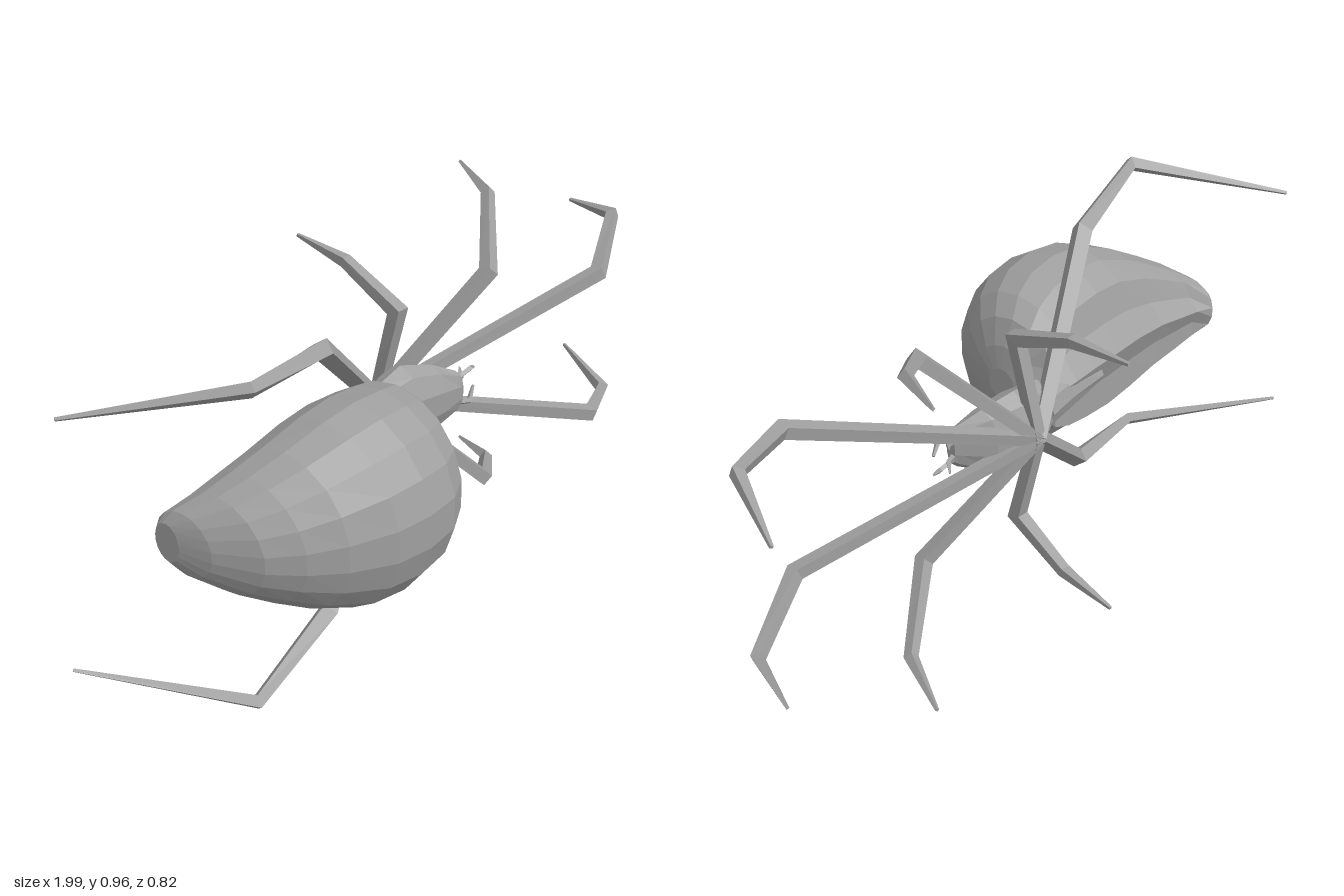
import * as THREE from 'three';

const MID = 0.475; // height of the body's plane of symmetry

// Skin a list of equal-length rings (counter-clockwise about the travel direction) and cap both ends
function loft(rings) {
  const pos = [];
  const n = rings[0].length;
  const tri = (...pts) => pts.forEach((p) => pos.push(p.x, p.y, p.z));
  const centre = (r) => r.reduce((s, p) => s.add(p), new THREE.Vector3()).divideScalar(n);
  const first = rings[0], last = rings[rings.length - 1];
  const c0 = centre(first), c1 = centre(last);
  for (let j = 0; j < n; j++) {
    const k = (j + 1) % n;
    for (let i = 0; i < rings.length - 1; i++) {
      const a = rings[i], b = rings[i + 1];
      tri(a[j], a[k], b[k]);
      tri(a[j], b[k], b[j]);
    }
    tri(c0, first[k], first[j]);
    tri(c1, last[j], last[k]);
  }
  const g = new THREE.BufferGeometry();
  g.setAttribute('position', new THREE.Float32BufferAttribute(pos, 3));
  g.computeVertexNormals();
  return g;
}

// Body from stations along x: [x, half width in y, lowest z, highest z]
function bodyGeometry(stations, sides, furrow = 0) {
  return loft(stations.map(([x, w, zb, zt], i) => {
    const ring = [];
    const inner = i > 1 && i < stations.length - 2;
    for (let j = 0; j < sides; j++) {
      const a = (j / sides) * Math.PI * 2;
      // alternate underside corners sink in to form lengthwise furrows
      const s = inner && Math.sin(a) < -0.4 && j % 2 ? 1 - furrow : 1;
      ring.push(new THREE.Vector3(
        x,
        MID + w * Math.cos(a) * s,
        (zb + zt) / 2 + ((zt - zb) / 2) * Math.sin(a) * s
      ));
    }
    return ring;
  }));
}

// Square-section jointed limb with mitred knees
function limbGeometry(points, radii) {
  const p = points.map((q) => new THREE.Vector3(...q));
  const last = p.length - 1;
  const dir = (i) => p[i + 1].clone().sub(p[i]).normalize();
  const normal = dir(0).cross(p[last].clone().sub(p[1])).normalize();
  return loft(p.map((q, i) => {
    const d0 = dir(Math.max(0, i - 1)), d1 = dir(Math.min(last - 1, i));
    const t = d0.clone().add(d1).normalize();
    const mitre = Math.min(1.5, 1 / t.dot(d0));
    const u = normal.clone().addScaledVector(t, -normal.dot(t)).normalize();
    const v = t.clone().cross(u).multiplyScalar(mitre);
    return [[1, -1], [1, 1], [-1, 1], [-1, -1]].map(([a, b]) =>
      q.clone().addScaledVector(u, a * radii[i]).addScaledVector(v, b * radii[i]));
  }));
}

export function createModel() {
  const model = new THREE.Group();
  const grey = new THREE.MeshStandardMaterial({ color: 0xa0a0a0, flatShading: true });
  grey.name = 'grey';
  const add = (name, geometry) => {
    const mesh = new THREE.Mesh(geometry, grey);
    mesh.name = name;
    model.add(mesh);
  };

  // Teardrop abdomen, pointed at the rear
  add('abdomen', bodyGeometry([
    [-0.81, 0.055, -0.10, -0.02],
    [-0.79, 0.09, -0.115, 0.07],
    [-0.735, 0.135, -0.10, 0.19],
    [-0.67, 0.175, -0.09, 0.265],
    [-0.59, 0.22, -0.075, 0.33],
    [-0.48, 0.265, -0.07, 0.39],
    [-0.38, 0.277, -0.07, 0.41],
    [-0.28, 0.265, -0.065, 0.405],
    [-0.20, 0.238, -0.06, 0.365],
    [-0.145, 0.195, -0.05, 0.305],
    [-0.115, 0.12, 0.03, 0.235],
    [-0.105, 0.05, 0.09, 0.18],
  ], 18, 0.13));

  // Waist joining the abdomen to the fore body
  add('waist', bodyGeometry([
    [-0.32, 0.03, -0.06, 0.0],
    [-0.18, 0.06, -0.06, 0.02],
    [-0.08, 0.06, -0.07, 0.02],
  ], 8));

  // Fore body with a narrow, raised head
  add('foreBody', bodyGeometry([
    [-0.12, 0.06, -0.05, 0.02],
    [-0.06, 0.108, -0.075, 0.03],
    [0.04, 0.125, -0.10, 0.05],
    [0.13, 0.10, -0.05, 0.065],
    [0.195, 0.065, 0.02, 0.068],
    [0.21, 0.05, 0.035, 0.064],
  ], 10));

  // Four legs per side: knee, ankle and tip; the last number scales the thickness
  const hub = [0.03, MID, -0.10];
  const legs = {
    leftFrontLeg: [[0.65, 0.715, 0.205], [0.89, 0.78, 0.095], [0.99, 0.735, -0.115], 1],
    leftSecondLeg: [[0.31, 0.805, 0.065], [0.515, 0.925, -0.09], [0.60, 0.95, -0.25], 1],
    leftThirdLeg: [[0.035, 0.765, -0.03], [0.055, 0.845, -0.225], [0.072, 0.862, -0.41], 1],
    leftRearLeg: [[-0.385, 0.865, 0.075], [-0.70, 0.92, 0.14], [-0.97, 0.835, -0.22], 1.15],
    rightFrontLeg: [[0.65, 0.255, 0.21], [0.89, 0.193, 0.105], [0.99, 0.233, -0.105], 1],
    rightSecondLeg: [[0.31, 0.145, 0.07], [0.535, 0.042, -0.08], [0.615, 0.012, -0.24], 1],
    rightThirdLeg: [[0.035, 0.185, -0.035], [0.055, 0.09, -0.215], [0.075, 0.065, -0.39], 1],
    rightRearLeg: [[-0.39, 0.08, 0.075], [-0.72, 0.018, 0.125], [-0.995, 0.11, -0.24], 1.15],
  };
  for (const [name, [knee, ankle, tip, k]] of Object.entries(legs)) {
    add(name, limbGeometry([hub, knee, ankle, tip], [0.016 * k, 0.018 * k, 0.014, 0.004]));
  }

  // Short feelers and fangs at the mouth, mirrored
  for (const [side, s] of [['left', 1], ['right', -1]]) {
    add(side + 'Feeler', limbGeometry([
      [0.19, MID + s * 0.035, 0.045], [0.25, MID + s * 0.052, 0.055], [0.295, MID + s * 0.03, 0.035],
    ], [0.006, 0.006, 0.003]));
    add(side + 'Fang', limbGeometry([
      [0.19, MID + s * 0.02, 0.045], [0.23, MID + s * 0.03, 0.04], [0.255, MID + s * 0.04, 0.015],
    ], [0.006, 0.006, 0.002]));
  }
  return model;
}
